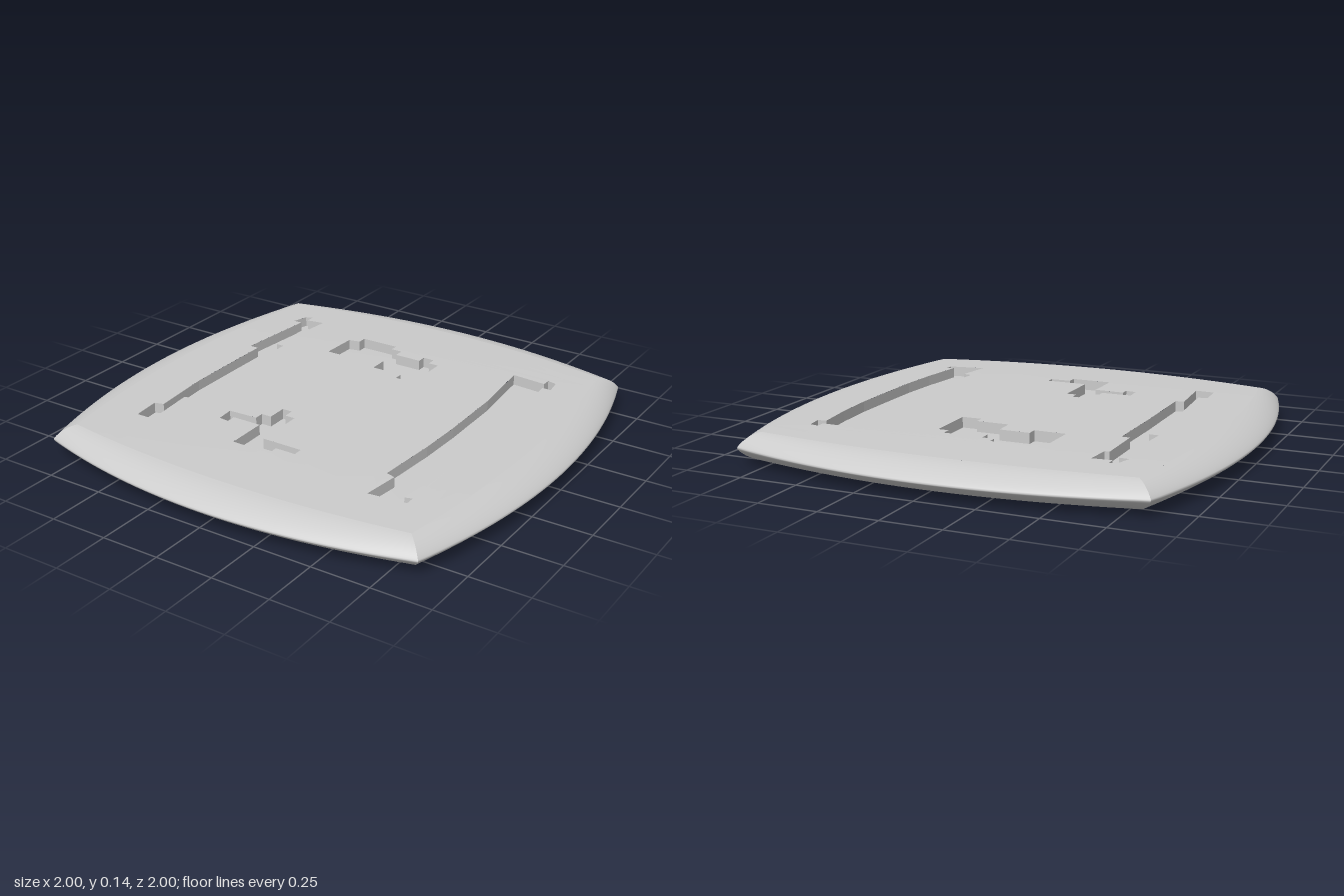
import * as THREE from 'three';
import { mergeVertices } from 'three/addons/utils/BufferGeometryUtils.js';

const MID = 0.07, DEPTH = 0.045, SEG = 32;

// half thickness of the gently domed slab
const dome = (x, z) => 0.07 - 0.01 * (x * x + z * z);
// bowed front side: u runs -1..1 along it, s runs from the rim (0) to the flat face (1)
function sidePoint(u, s) {
  const corner = 0.86 - 0.07 * s, middle = 1 - 0.14 * s;
  return [corner * u, corner + (middle - corner) * (1 - u * u)];
}

// recess outlines, as [x, z]
const recesses = {
  leftSlotRecess: [[0.48, -0.6], [0.63, -0.59], [0.63, -0.63], [0.67, -0.62], [0.68, -0.55], [0.64, -0.55],
    [0.66, -0.38], [0.67, -0.2], [0.67, 0.2], [0.66, 0.38], [0.64, 0.59], [0.67, 0.58], [0.67, 0.62], [0.51, 0.64],
    [0.53, 0.48], [0.49, 0.47], [0.51, 0.2], [0.515, 0], [0.51, -0.3]],
  rightSlotRecess: [[-0.66, -0.66], [-0.63, -0.67], [-0.63, -0.63], [-0.55, -0.64], [-0.56, -0.53], [-0.58, -0.53],
    [-0.58, -0.31], [-0.545, -0.31], [-0.55, 0], [-0.545, 0.35], [-0.58, 0.36], [-0.56, 0.59], [-0.64, 0.59],
    [-0.65, 0.47], [-0.61, 0.46], [-0.63, 0.2], [-0.63, -0.23], [-0.67, -0.23], [-0.64, -0.59], [-0.68, -0.59]],
  backStepRecess: [[-0.33, -0.53], [-0.28, -0.54], [-0.28, -0.58], [-0.11, -0.58], [-0.11, -0.545], [-0.06, -0.545],
    [-0.06, -0.5], [0.06, -0.5], [0.06, -0.54], [0.11, -0.54], [0.11, -0.5], [0.155, -0.5], [0.155, -0.285],
    [0.07, -0.285], [0.07, -0.325], [-0.07, -0.325], [-0.07, -0.41], [-0.2, -0.41], [-0.2, -0.365], [-0.335, -0.365]],
  frontStepRecess: [[-0.335, 0.365], [-0.205, 0.36], [-0.205, 0.32], [-0.16, 0.32], [-0.16, 0.235], [-0.115, 0.235],
    [-0.115, 0.28], [-0.07, 0.28], [-0.07, 0.495], [0.11, 0.495], [0.11, 0.535], [0.02, 0.535], [0.02, 0.58],
    [-0.155, 0.58], [-0.155, 0.405], [-0.285, 0.405], [-0.285, 0.445], [-0.33, 0.44]],
};

// grid surface from a function (i, j) => [x, y, z]
function grid(nu, nv, fn) {
  const pos = [], index = [];
  for (let j = 0; j <= nv; j++) for (let i = 0; i <= nu; i++) pos.push(...fn(i, j));
  for (let j = 0; j < nv; j++) for (let i = 0; i < nu; i++) {
    const a = j * (nu + 1) + i, c = a + nu + 1;
    index.push(a, a + 1, c, a + 1, c + 1, c);
  }
  const geo = new THREE.BufferGeometry();
  geo.setAttribute('position', new THREE.Float32BufferAttribute(pos, 3));
  geo.setIndex(index);
  geo.computeVertexNormals();
  return geo;
}

// flat outline with holes, split finely and lifted to a height rule
function face(outline, holes, height, down = false) {
  const vec = ([x, z]) => new THREE.Vector2(x, down ? z : -z);
  const shape = new THREE.Shape(outline.map(vec));
  shape.holes = holes.map(h => new THREE.Path(h.map(vec)));
  const flat = new THREE.ShapeGeometry(shape).rotateX(down ? Math.PI / 2 : -Math.PI / 2).toNonIndexed();
  const p = flat.getAttribute('position'), out = [];
  const split = (a, b, c, level) => {
    if (level === 0) {
      for (const v of [a, b, c]) out.push(v.x, height(v.x, v.z), v.z);
      return;
    }
    const ab = a.clone().lerp(b, 0.5), bc = b.clone().lerp(c, 0.5), ca = c.clone().lerp(a, 0.5);
    for (const t of [[a, ab, ca], [ab, b, bc], [ca, bc, c], [ab, bc, ca]]) split(...t, level - 1);
  };
  for (let i = 0; i < p.count; i += 3) {
    split(...[0, 1, 2].map(k => new THREE.Vector3().fromBufferAttribute(p, i + k)), 3);
  }
  const geo = new THREE.BufferGeometry();
  geo.setAttribute('position', new THREE.Float32BufferAttribute(out, 3));
  const merged = mergeVertices(geo, 1e-5);
  merged.computeVertexNormals();
  return merged;
}

export function createModel() {
  const group = new THREE.Group();
  const smooth = new THREE.MeshStandardMaterial({ color: 0xcccccc });
  const faceted = new THREE.MeshStandardMaterial({ color: 0xcccccc, flatShading: true, side: THREE.DoubleSide });
  const add = (name, geo, mat = smooth, parent = group) => {
    const mesh = new THREE.Mesh(geo, mat);
    mesh.name = name;
    parent.add(mesh);
    return mesh;
  };

  // outline of the broad faces: the front side turned four times
  const outline = [];
  for (let k = 0; k < 4; k++) for (let i = 0; i < SEG; i++) {
    let [x, z] = sidePoint(i / SEG * 2 - 1, 1);
    for (let r = 0; r < k; r++) [x, z] = [z, -x];
    outline.push([x, z]);
  }
  add('topFace', face(outline, Object.values(recesses), (x, z) => MID + dome(x, z)));
  add('bottomFace', face(outline, [], (x, z) => MID - dome(x, z), true));

  // rounded rim, one strip per side so the corners stay sharp
  const rim = grid(SEG, 24, (i, j) => {
    const v = j / 12 - 1, s = Math.abs(v) ** 1.5;
    const u = i / SEG * 2 - 1;
    const [x, z] = sidePoint(u, s), [ex, ez] = sidePoint(u, 1);
    const h = dome(ex, ez) * Math.sin(1.3 * s ** 0.75) / Math.sin(1.3);
    return [x, MID + Math.sign(v) * h, z];
  });
  ['frontRim', 'leftRim', 'backRim', 'rightRim'].forEach((name, k) => {
    add(name, rim).rotation.y = k * Math.PI / 2;
  });

  // recesses: steep walls and a floor that follows the dome
  for (const [name, pts] of Object.entries(recesses)) {
    const recess = new THREE.Group();
    recess.name = name;
    group.add(recess);
    add('recessWalls', grid(pts.length, 1, (i, j) => {
      const [x, z] = pts[i % pts.length];
      return [x, MID + dome(x, z) - (1 - j) * DEPTH, z];
    }), faceted, recess);
    add('recessFloor', face(pts, [], (x, z) => MID + dome(x, z) - DEPTH), smooth, recess);
  }
  return group;
}
